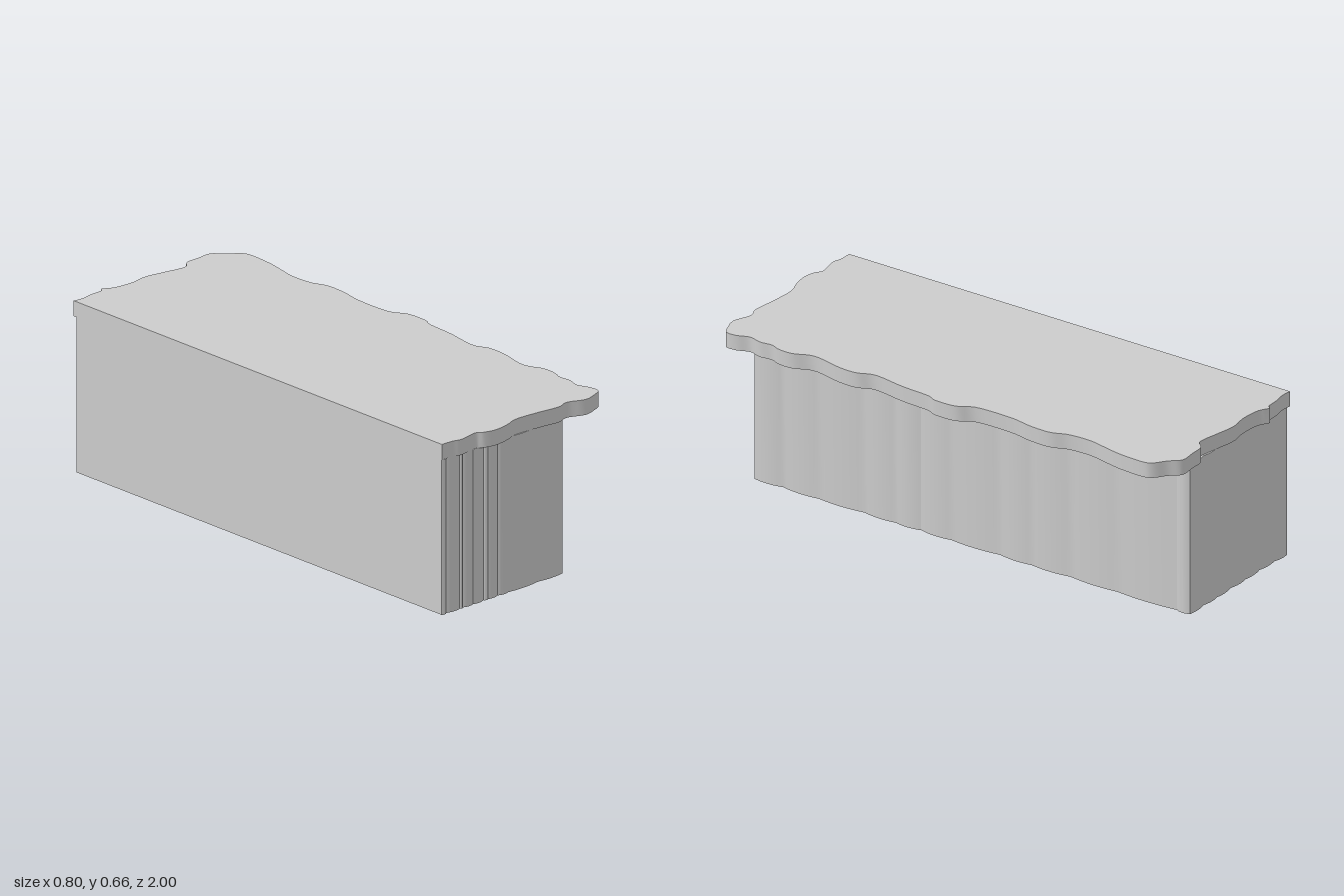
import * as THREE from 'three';
import { toCreasedNormals } from 'three/addons/utils/BufferGeometryUtils.js';

// Extrudes a plan outline (shape y = -z) upwards from y = bottom.
function slab(name, shape, bottom, height, curveSegments) {
  const geometry = new THREE.ExtrudeGeometry(shape, { depth: height, bevelEnabled: false, curveSegments });
  geometry.rotateX(-Math.PI / 2);
  geometry.translate(0, bottom, 0);
  const material = new THREE.MeshStandardMaterial({ color: 0xcccccc });
  const mesh = new THREE.Mesh(toCreasedNormals(geometry, 0.45), material);
  mesh.name = name;
  return mesh;
}

// Overhanging top: straight back-wall edge on the left, weathered elsewhere.
function topShape() {
  const backEdge = [
    [-0.4, -0.98], [-0.36, -0.975], [-0.31, -0.983], [-0.26, -0.985], [-0.245, -0.998], [-0.2, -0.975],
    [-0.12, -0.968], [-0.05, -0.978], [0.03, -0.965], [0.09, -0.953], [0.13, -0.952],
    [0.16, -0.98], [0.22, -0.983], [0.28, -0.985], [0.32, -0.945], [0.365, -0.91],
  ];
  const sideEdge = [
    [0.378, -0.87], [0.373, -0.77], [0.358, -0.69], [0.345, -0.62], [0.35, -0.53],
    [0.374, -0.46], [0.372, -0.37], [0.357, -0.28], [0.36, -0.13], [0.395, -0.06],
    [0.398, 0.03], [0.382, 0.07], [0.374, 0.19], [0.355, 0.32], [0.379, 0.39],
    [0.378, 0.47], [0.355, 0.59], [0.384, 0.67], [0.383, 0.73], [0.369, 0.77],
    [0.374, 0.82], [0.361, 0.87], [0.379, 0.92], [0.378, 0.965],
  ];
  const frontEdge = [
    [0.34, 0.985], [0.285, 0.998], [0.215, 0.972], [0.165, 0.986], [0.08, 0.976],
    [-0.03, 0.968], [-0.09, 0.986], [-0.155, 0.996], [-0.205, 0.985], [-0.235, 0.968],
    [-0.31, 0.981], [-0.35, 0.972], [-0.4, 0.97],
  ];
  const points = [...backEdge, ...sideEdge, ...frontEdge].map(([x, z]) => new THREE.Vector2(x, -z));
  const shape = new THREE.Shape();
  shape.moveTo(points[0].x, points[0].y);
  shape.splineThru(points.slice(1));
  shape.closePath();
  return shape;
}

// Base: shallow bulges meeting in vertical grooves around three sides.
function baseShape() {
  const shape = new THREE.Shape();
  shape.moveTo(-0.4, 0.965);
  let last = [-0.4, -0.965];
  const bulgeTo = (x, z, nx, nz, depth) => {
    const cx = (last[0] + x) / 2 + nx * depth;
    const cz = (last[1] + z) / 2 + nz * depth;
    shape.quadraticCurveTo(cx, -cz, x, -z);
    last = [x, z];
  };
  [-0.33, -0.24, -0.15, -0.06, 0.03, 0.11, 0.198]
    .forEach((x, i) => bulgeTo(x, -0.959 + (i % 2) * 0.003, 0, -1, 0.012));
  [-0.9, -0.64, -0.43, -0.26, -0.12, 0.095, 0.23, 0.34, 0.48, 0.68, 0.84, 0.965]
    .forEach((z, i) => bulgeTo(0.198 + (i % 2) * 0.003, z, 1, 0, 0.016));
  [0.08, -0.07, -0.12, -0.17, -0.19, -0.245, -0.295, -0.31, -0.375, -0.4]
    .forEach((x, i) => bulgeTo(x, 0.965 + (i % 2) * 0.003, 0, 1, 0.012));
  shape.closePath();
  return shape;
}

export function createModel() {
  const model = new THREE.Group();
  model.name = 'stoneLedge';
  model.add(slab('base', baseShape(), 0, 0.602, 8));
  model.add(slab('topSlab', topShape(), 0.602, 0.06, 4));
  return model;
}
